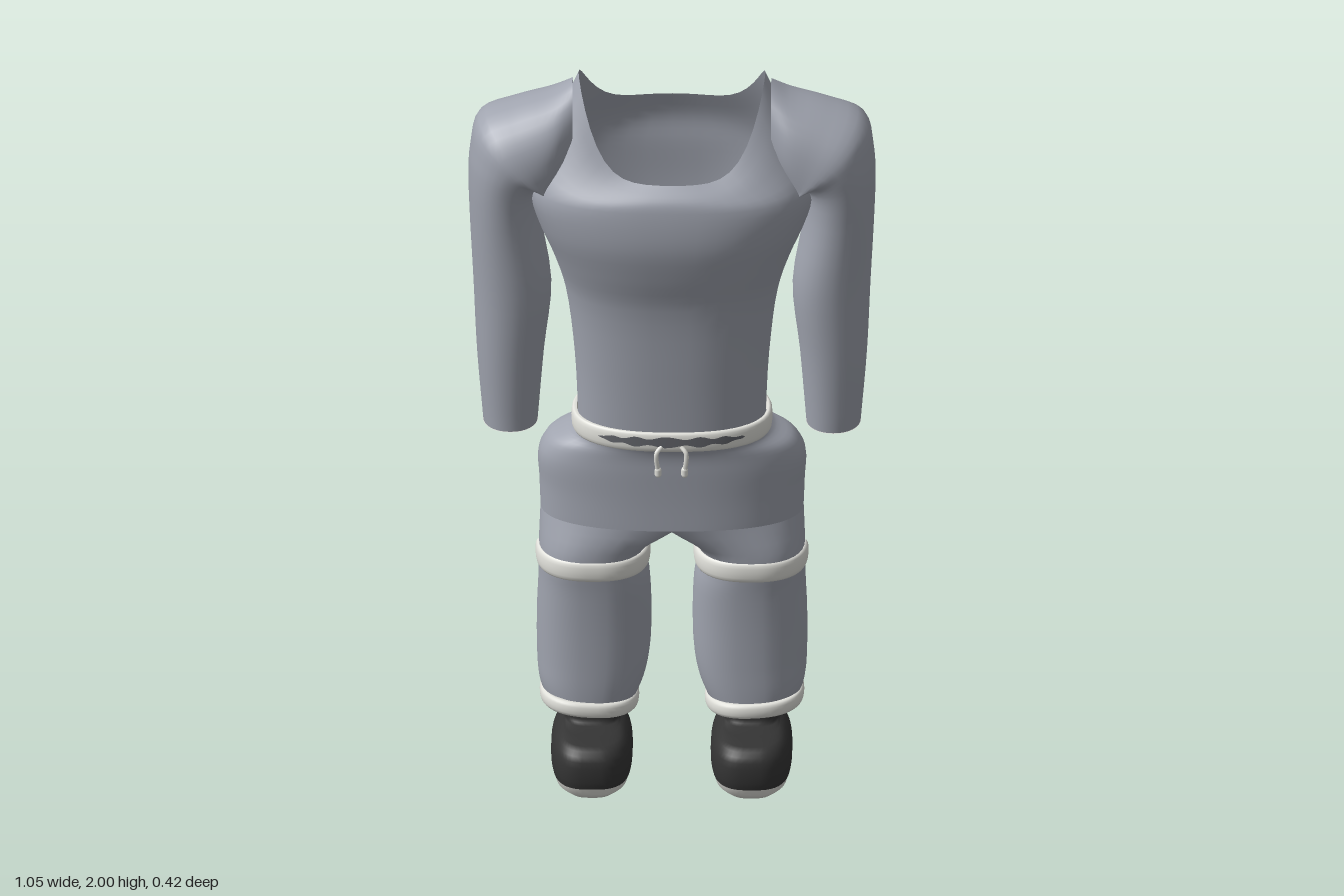
import * as THREE from 'three';

const mat = (name, color) => {
  const m = new THREE.MeshStandardMaterial({ color, side: THREE.DoubleSide });
  m.name = name;
  return m;
};

// Ring of points around y: half width rx, front at zf, back at zb, squareness n
function ring(y, cx, rx, zf, zb, n = 2.4, t0 = 0, t1 = 360, seg = 48) {
  const pts = [];
  const pw = v => Math.sign(v) * Math.abs(v) ** (2 / n);
  for (let i = 0; i < (t1 - t0 === 360 ? seg : seg + 1); i++) {
    const t = THREE.MathUtils.degToRad(t0 + (t1 - t0) * i / seg);
    pts.push(new THREE.Vector3(cx + rx * pw(Math.cos(t)), y, (zf + zb) / 2 + (zf - zb) / 2 * pw(Math.sin(t))));
  }
  return pts;
}

// Smooth skin over rings listed from bottom to top; side -1 mirrors it in x
function skin(rings, { sub = 4, closed = true, side = 1 } = {}) {
  const n = rings[0].length;
  const cols = rings[0].map((_, i) => {
    const col = rings.map(r => r[i]);
    return sub > 1 ? new THREE.CatmullRomCurve3(col).getPoints((rings.length - 1) * sub) : col;
  });
  const rows = cols[0].length, pos = [], idx = [];
  for (let j = 0; j < rows; j++) for (let i = 0; i < n; i++) {
    const p = cols[i][j];
    pos.push(p.x * side, p.y, p.z);
  }
  for (let j = 0; j < rows - 1; j++) for (let i = 0; i < (closed ? n : n - 1); i++) {
    const a = j * n + i, b = j * n + (i + 1) % n, c = a + n, d = b + n;
    if (side > 0) idx.push(a, c, b, b, c, d);
    else idx.push(a, b, c, b, d, c);
  }
  const g = new THREE.BufferGeometry();
  g.setAttribute('position', new THREE.Float32BufferAttribute(pos, 3));
  g.setIndex(idx);
  g.computeVertexNormals();
  return g;
}

// Raised band following a ring, with a rounded edge
function band(y0, y1, cx, rx, zf, zb, bulge, t0 = 0, t1 = 360, n = 2.4) {
  const h = y1 - y0;
  return [[0, -0.5], [0, 0.5], [0.25, 1], [0.75, 1], [1, 0.5], [1, -0.5]].map(([u, k]) =>
    ring(y0 + h * u, cx, rx + bulge * k, zf + bulge * k, zb - bulge * k, n, t0, t1));
}

export function createModel() {
  const cloth = mat('grey cloth', 0xa0a4af);
  const trim = mat('off-white trim', 0xe2e2dc);
  const dark = mat('black shoe', 0x343434);
  const shade = mat('dark waist gap', 0x66686e);
  const model = new THREE.Group();
  const add = (name, geo, m, parent = model) => {
    const mesh = new THREE.Mesh(geo, m);
    mesh.name = name;
    parent.add(mesh);
    return mesh;
  };

  // Shirt body, open at the waist and at the scooped neckline
  const body = [
    [1.0, 0.24, 0.145, -0.155], [1.2, 0.25, 0.155, -0.168], [1.4, 0.275, 0.17, -0.187],
    [1.5, 0.305, 0.195, -0.197], [1.6, 0.345, 0.213, -0.203], [1.7, 0.37, 0.205, -0.203],
  ].map(([y, rx, zf, zb]) => ring(y, 0, rx, zf, zb));
  const neck = ring(0, 0, 0.24, 0.16, -0.185, 2.1).map(p => {
    const base = p.z > -0.0125 ? 1.76 : 1.85;
    const rise = Math.min(1, Math.abs(p.x) / 0.24) ** 5;
    return p.setY(base + (2 - base) * rise);
  });
  const chest = body[body.length - 1];
  const collarbone = neck.map((p, i) => {
    const q = p.clone().lerp(chest[i], 0.5);
    q.z = q.z * 1.06;
    return q;
  });
  add('shirtBody', skin([...body, collarbone, neck]), cloth);

  // Sleeves: rings that tilt over the shoulder towards the neck
  const sleeve = [
    [0.415, 1.0, 0, 0.07, 0.083], [0.415, 1.2, 0, 0.086, 0.1], [0.41, 1.4, 0, 0.1, 0.115],
    [0.43, 1.6, 0, 0.09, 0.127], [0.43, 1.7, 8, 0.094, 0.137], [0.415, 1.745, 22, 0.112, 0.145],
    [0.39, 1.765, 45, 0.152, 0.15], [0.35, 1.78, 70, 0.145, 0.142],
    [0.3, 1.81, 88, 0.137, 0.125], [0.255, 1.84, 90, 0.135, 0.09],
  ].map(([x, y, deg, r, rz]) => {
    const t = THREE.MathUtils.degToRad(deg);
    return ring(0, 0, r, rz, -rz, 2.1, 0, 360, 32).map(p =>
      new THREE.Vector3(x + p.x * Math.cos(t), y + p.x * Math.sin(t), p.z - 0.014));
  });
  const lining = [[1.0, 0.071], [1.0, 0.064], [1.06, 0.066]]
    .map(([y, r]) => ring(y, 0.415, r, r + 0.001, -r - 0.027, 2.1, 0, 360, 32));

  // Hips of the trousers
  const hips = [
    [0.74, 0.338, 0.12, -0.207], [0.82, 0.341, 0.12, -0.207], [0.9, 0.343, 0.122, -0.197],
    [0.95, 0.318, 0.124, -0.182], [0.98, 0.27, 0.132, -0.172], [1.0, 0.248, 0.145, -0.165],
  ].map(([y, rx, zf, zb]) => ring(y, 0, rx, zf, zb));
  add('trouserHips', skin(hips), cloth);

  // Leg top: outer part meets the hips, inner part runs along the crotch seam
  const pw = v => Math.sign(v) * Math.abs(v) ** (2 / 2.4);
  const legTop = [];
  for (let i = 0; i < 36; i++) {
    const deg = i * 10 > 180 ? i * 10 - 360 : i * 10;
    const a = Math.abs(deg), s = Math.sign(deg), zc = -0.0435, zr = 0.1635;
    if (a <= 120) {
      const t = THREE.MathUtils.degToRad(deg * 0.75);
      legTop.push(new THREE.Vector3(0.338 * pw(Math.cos(t)), 0.74, zc + zr * pw(Math.sin(t))));
    } else {
      const u = (a - 120) / 60;
      legTop.push(new THREE.Vector3(0, 0.74 - 0.06 * Math.sin(u * Math.PI / 2), zc + s * zr * (1 - u)));
    }
  }
  const leg = [
    [0.2, 0.21, 0.113, 0.098, -0.145], [0.26, 0.207, 0.135, 0.1, -0.162], [0.33, 0.202, 0.145, 0.1, -0.174],
    [0.45, 0.2, 0.147, 0.101, -0.17], [0.55, 0.2, 0.143, 0.105, -0.16], [0.64, 0.205, 0.137, 0.112, -0.172],
  ].map(([y, cx, rx, zf, zb]) => ring(y, cx, rx, zf, zb, 2.4, 0, 360, 36));

  // Shoe upper with an open ankle collar, and the sole below it
  const shoe = [
    [0.04, 0.1, 0.212, -0.13], [0.06, 0.104, 0.216, -0.134], [0.1, 0.104, 0.216, -0.134],
    [0.13, 0.096, 0.207, -0.126], [0.148, 0.08, 0.18, -0.11], [0.155, 0.072, 0.08, -0.085],
    [0.17, 0.073, 0.07, -0.084], [0.21, 0.08, 0.07, -0.088],
  ].map(([y, rx, zf, zb]) => ring(y, 0.205, rx, zf, zb, 2.9));
  const sole = [
    [0.012, 0.084, 0.195, -0.113], [0.022, 0.094, 0.206, -0.124], [0.042, 0.1, 0.212, -0.13],
  ].map(([y, rx, zf, zb]) => ring(y, 0.205, rx, zf, zb, 2.9));
  const soleBottom = [
    ring(0, 0.205, 0, 0.041, 0.041, 2.9), ring(0, 0.205, 0.07, 0.18, -0.1, 2.9), sole[0],
  ];

  for (const side of [1, -1]) {
    const half = new THREE.Group();
    half.name = side > 0 ? 'leftSide' : 'rightSide';
    model.add(half);
    add('sleeve', skin(sleeve, { side }), cloth, half);
    add('sleeveLining', skin(lining, { side, sub: 1 }), trim, half);
    add('trouserLeg', skin([...leg, legTop], { side }), cloth, half);
    add('kneeBand', skin(band(0.59, 0.642, 0.203, 0.137, 0.108, -0.165, 0.01, 0, 180),
      { side, sub: 2, closed: false }), trim, half);
    // Ankle cuff, a little higher at the front outside
    const cuff = band(0.19, 0.228, 0.212, 0.116, 0.108, -0.148, 0.011);
    cuff.forEach(r => r.forEach(p => { p.y += (p.x - 0.212) * 0.06 + p.z * 0.06; }));
    add('ankleCuff', skin(cuff, { side, sub: 2 }), trim, half);
    add('shoeUpper', skin(shoe, { side, sub: 2 }), dark, half);
    add('soleEdge', skin(sole, { side, sub: 1 }), trim, half);
    add('soleBottom', skin(soleBottom, { side, sub: 1 }), trim, half);

    // Drawstring with a tipped end
    const cord = new THREE.CatmullRomCurve3([
      new THREE.Vector3(side * 0.025, 1.005, 0.158), new THREE.Vector3(side * 0.038, 0.99, 0.168),
      new THREE.Vector3(side * 0.034, 0.935, 0.163),
    ]);
    add('drawstring', new THREE.TubeGeometry(cord, 12, 0.006, 8), trim, half);
    const tip = add('drawstringTip', new THREE.CapsuleGeometry(0.009, 0.012, 4, 10), trim, half);
    tip.position.set(side * 0.034, 0.934, 0.163);
  }

  // Waistband and the wavy dark gap on its front
  add('waistband', skin(band(0.988, 1.04, 0, 0.249, 0.15, -0.166, 0.009), { sub: 2 }), trim);
  const gap = [-1, 1].map(k => ring(1.018, 0, 0.26, 0.1615, -0.178, 2.4, 47, 133, 40).map((p, i) => {
    const taper = Math.sin(Math.PI * i / 40) ** 0.5;
    p.y += k * taper * (0.012 + 0.004 * Math.cos(i * 0.9 * k));
    return p;
  }));
  add('waistGap', skin(gap, { sub: 1, closed: false }), shade);

  return model;
}
